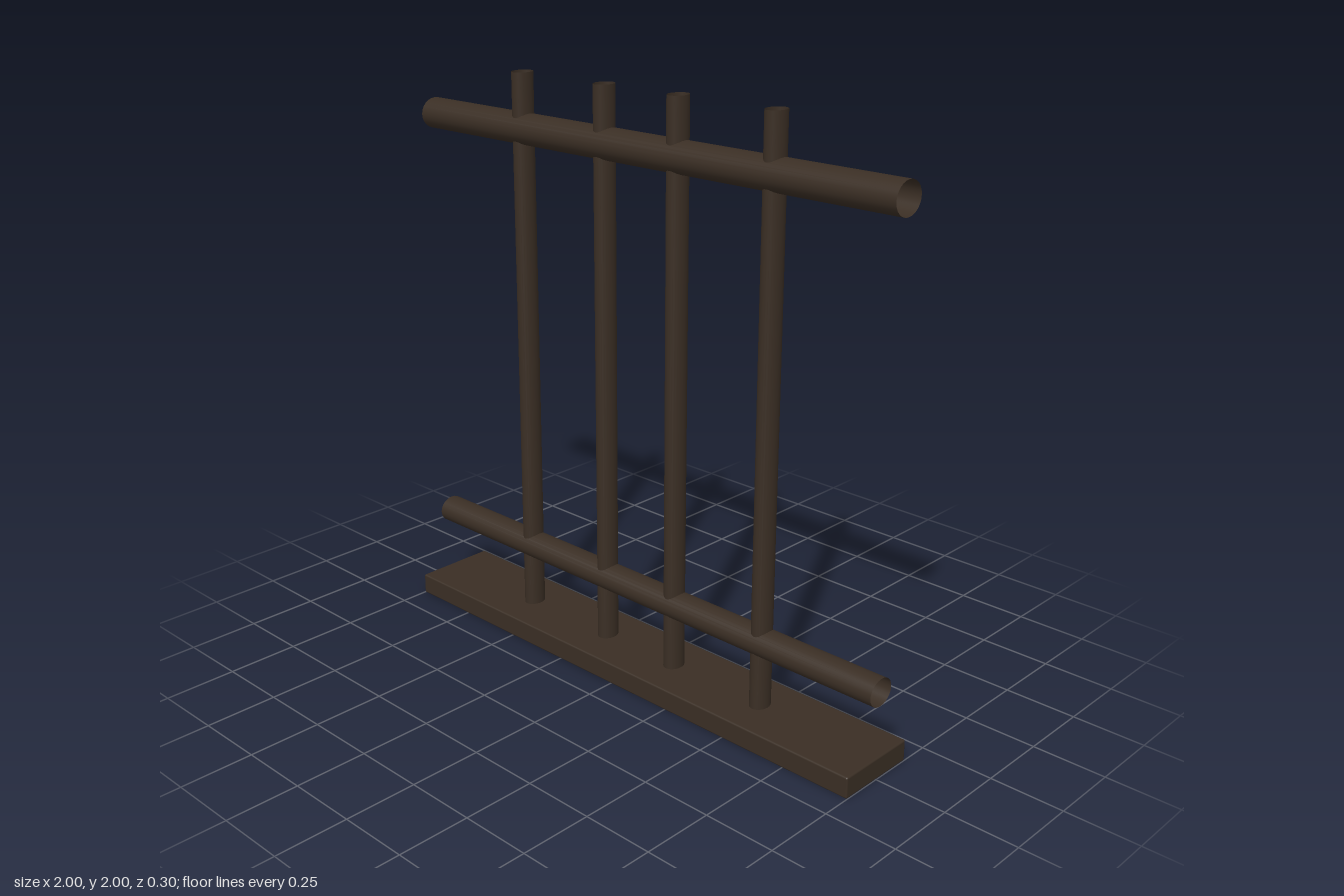
import * as THREE from 'three';
import { RoundedBoxGeometry } from 'three/addons/geometries/RoundedBoxGeometry.js';

export function createModel() {
  const group = new THREE.Group();
  group.name = 'railing';
  const wood = new THREE.MeshStandardMaterial({ color: 0x3a2e24 });
  const tubeWood = new THREE.MeshStandardMaterial({ color: 0x3a2e24, side: THREE.DoubleSide });

  const add = (name, geometry, material, x, y) => {
    const mesh = new THREE.Mesh(geometry, material);
    mesh.name = name;
    mesh.position.set(x, y, 0);
    group.add(mesh);
  };

  // Open-ended tube along y with an oval section
  const tube = (width, depth, length) =>
    new THREE.CylinderGeometry(0.5, 0.5, length, 24, 1, true).scale(width, 1, depth);

  // Flat base plank
  add('base', new RoundedBoxGeometry(2, 0.074, 0.3, 2, 0.006), wood, 0, 0.037);

  // Upright posts standing on the base
  const bottom = 0.07, top = 2;
  [-0.54, -0.16, 0.155, 0.535].forEach((x, i) => {
    add(`post${i + 1}`, tube(0.064, 0.08, top - bottom), tubeWood, x, (top + bottom) / 2);
  });

  // Horizontal rails running through the posts
  add('upperRail', tube(0.106, 0.118, 2).rotateZ(Math.PI / 2), tubeWood, 0, 1.812);
  add('lowerRail', tube(0.094, 0.106, 2).rotateZ(Math.PI / 2), tubeWood, 0, 0.303);

  return group;
}
